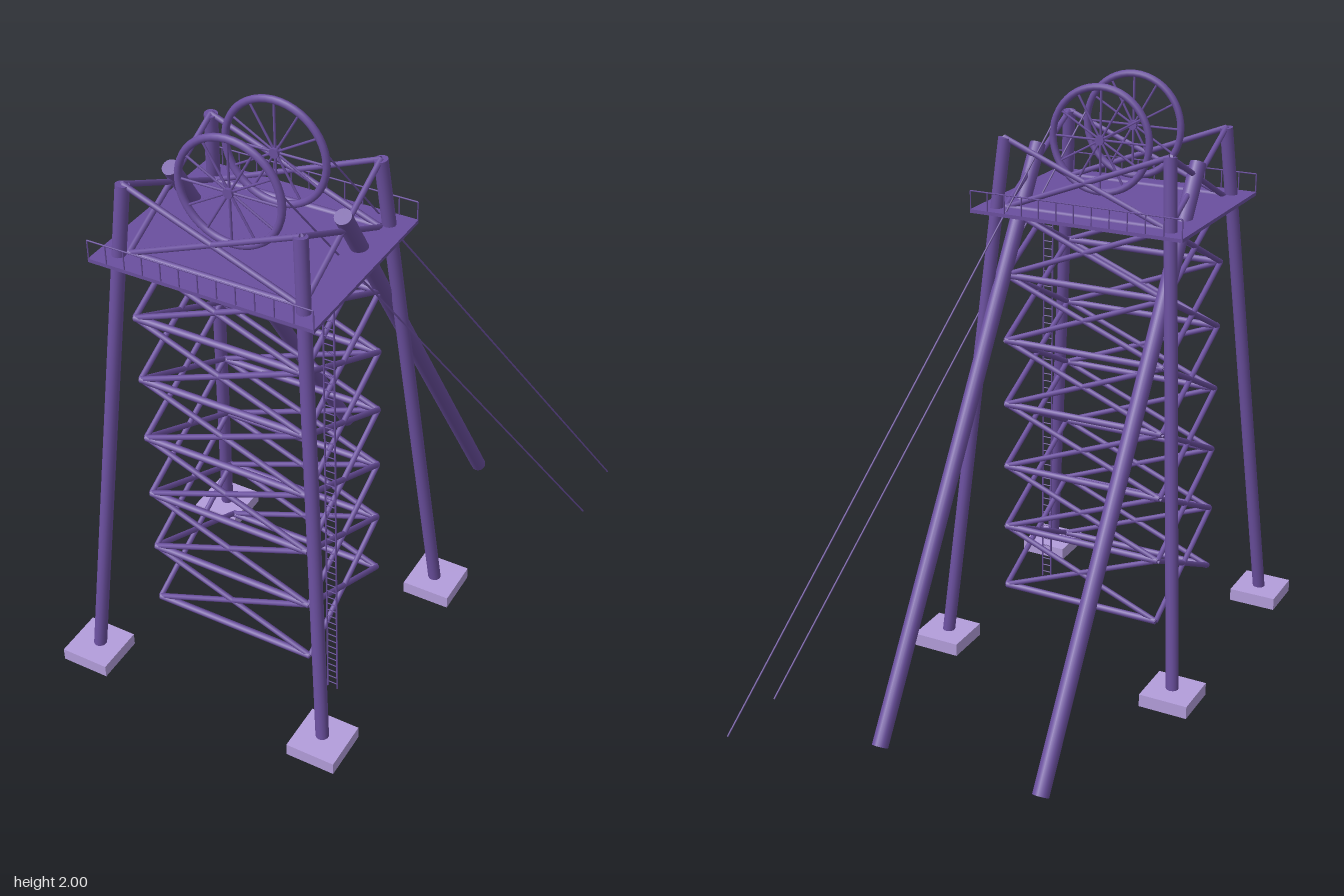
import * as THREE from 'three';

const steel = new THREE.MeshStandardMaterial({ color: 0x6a4f9e });
const pale = new THREE.MeshStandardMaterial({ color: 0xb39ddb });
const CX = -0.12, CZ = 0.39; // tower axis
const HX = 0.29, HZ = 0.235; // half size of the braced shaft
const DECK = 1.585, TOP = 1.82;
const V = (x, y, z) => new THREE.Vector3(x, y, z);

// Round bar between two points
function bar(parent, name, a, b, r, sides = 8) {
  const d = b.clone().sub(a);
  const mesh = new THREE.Mesh(new THREE.CylinderGeometry(r, r, d.length(), sides), steel);
  mesh.position.copy(a).add(b).multiplyScalar(0.5);
  mesh.quaternion.setFromUnitVectors(V(0, 1, 0), d.normalize());
  mesh.name = name;
  parent.add(mesh);
  return mesh;
}

function box(parent, name, size, pos, material) {
  const mesh = new THREE.Mesh(new THREE.BoxGeometry(...size), material);
  mesh.position.set(...pos);
  mesh.name = name;
  parent.add(mesh);
}

function group(parent, name) {
  const g = new THREE.Group();
  g.name = name;
  parent.add(g);
  return g;
}

// Spoked wheel facing z
function wheel(parent, z) {
  const g = group(parent, 'windingWheel');
  g.position.set(CX, TOP, z);
  const rim = new THREE.Mesh(new THREE.TorusGeometry(0.171, 0.012, 10, 48), steel);
  rim.name = 'rim';
  g.add(rim);
  bar(g, 'hub', V(0, 0, -0.012), V(0, 0, 0.012), 0.016, 16);
  for (let i = 0; i < 12; i++) {
    const a = (i * Math.PI) / 6;
    bar(g, 'spoke', V(0, 0, 0), V(Math.cos(a) * 0.17, Math.sin(a) * 0.17, 0), 0.004, 6);
  }
}

export function createModel() {
  const model = new THREE.Group();
  model.name = 'headframe';

  // Splayed legs on footing pads
  for (const sx of [-1, 1]) for (const sz of [-1, 1]) {
    const fx = CX + sx * 0.435, fz = CZ + sz * 0.415;
    bar(model, 'leg', V(fx, 0.02, fz), V(CX + sx * HX, TOP, CZ + sz * HZ), 0.022, 14);
    box(model, 'footing', [0.17, 0.045, 0.17], [fx, 0.043, fz], pale);
  }

  // Cross bracing on four faces, girts on front and back
  const bracing = group(model, 'bracing');
  const bays = 7, y0 = 0.195, step = (TOP - y0) / bays;
  const xl = CX - HX, xr = CX + HX, zb = CZ - HZ, zf = CZ + HZ;
  for (let i = 0; i < bays; i++) {
    const a = y0 + i * step, b = a + step;
    for (const z of [zb, zf]) {
      bar(bracing, 'girt', V(xl, a, z), V(xr, a, z), 0.012);
      bar(bracing, 'brace', V(xl, a, z), V(xr, b, z), 0.0095);
      bar(bracing, 'brace', V(xl, b, z), V(xr, a, z), 0.0095);
    }
    for (const x of [xl, xr]) {
      bar(bracing, 'brace', V(x, a, zb), V(x, b, zf), 0.0095);
      bar(bracing, 'brace', V(x, b, zb), V(x, a, zf), 0.0095);
    }
  }

  // Inclined back stays
  for (const x of [xl, xr])
    bar(model, 'backStay', V(x, 0.0145, -0.705), V(x, 1.752, 0.387), 0.027, 16);

  // Deck with railings along front and back
  box(model, 'deck', [0.75, 0.012, 0.64], [CX, DECK, CZ], steel);
  const railing = group(model, 'railing');
  for (const z of [CZ - 0.318, CZ + 0.318]) {
    bar(railing, 'handrail', V(CX - 0.373, 1.653, z), V(CX + 0.373, 1.653, z), 0.0025, 6);
    for (let i = 0; i <= 12; i++) {
      const x = CX - 0.373 + (i * 0.746) / 12;
      bar(railing, 'post', V(x, DECK, z), V(x, 1.653, z), 0.0022, 6);
    }
  }

  // Winding wheels and their cables
  for (const z of [0.265, 0.52]) {
    wheel(model, z);
    bar(model, 'cable', V(0.05, 1.86, z), V(0.632, 0.02, z - 1.158), 0.003, 6);
  }

  // Ladder to the deck
  const ladder = group(model, 'ladder');
  for (const x of [0.205, 0.24]) bar(ladder, 'ladderRail', V(x, 0.02, 0.57), V(x, DECK, 0.57), 0.003, 6);
  for (let y = 0.04; y < DECK; y += 0.028)
    bar(ladder, 'rung', V(0.205, y, 0.57), V(0.24, y, 0.57), 0.002, 5);

  return model;
}
